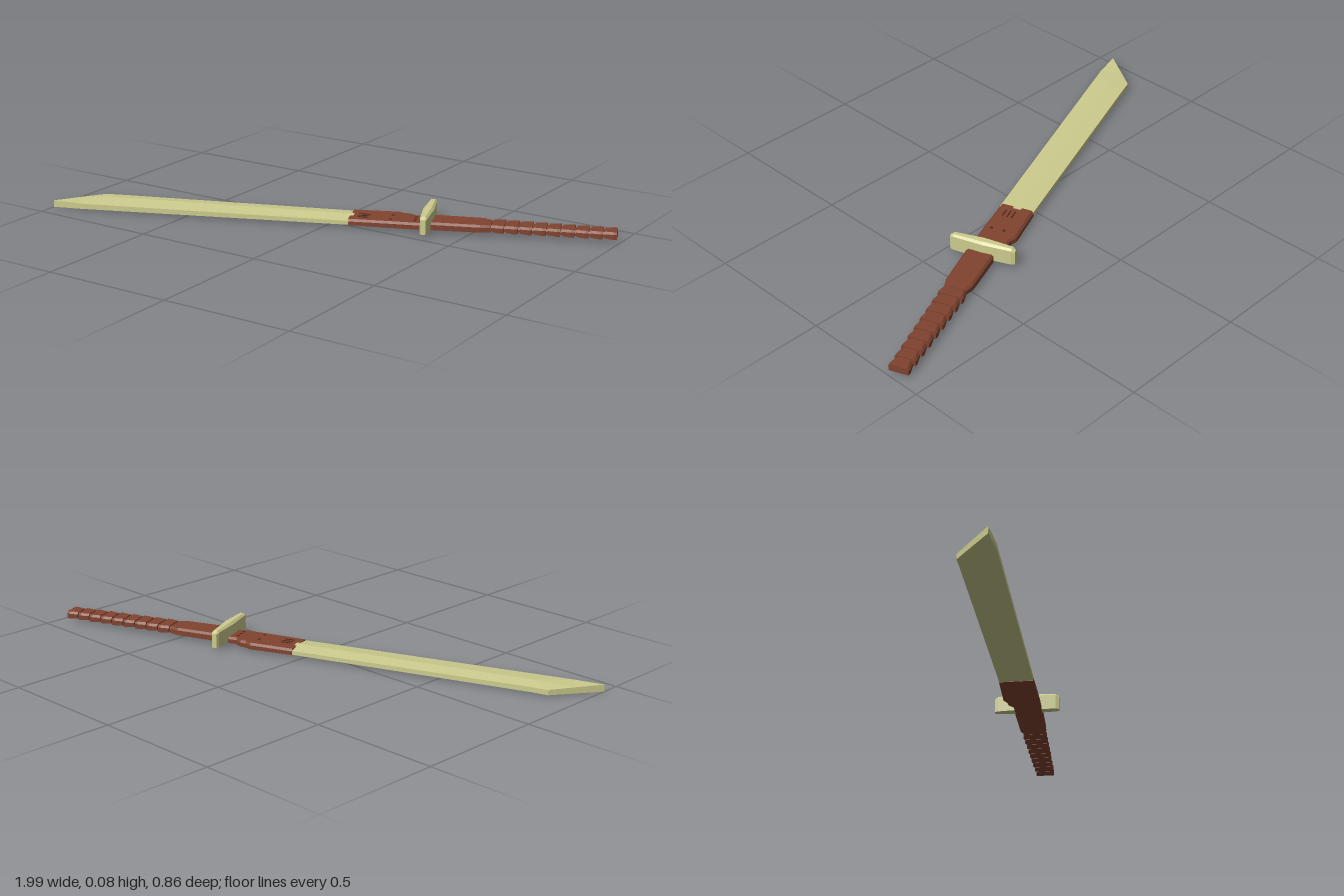
import * as THREE from 'three';

const BLADE = 0xcccc8e, BROWN = 0x80432f, DARK = 0x4a2518;

// Flat-shaded skin through matching cross-sections, with both ends capped.
function loft(sections) {
  const pos = [];
  const tri = (a, b, c) => pos.push(...a, ...b, ...c);
  const n = sections[0].length;
  for (let s = 0; s < sections.length - 1; s++) {
    const a = sections[s], b = sections[s + 1];
    for (let i = 0; i < n; i++) {
      const j = (i + 1) % n;
      tri(a[i], a[j], b[j]);
      tri(a[i], b[j], b[i]);
    }
  }
  const first = sections[0], last = sections[sections.length - 1];
  for (let i = 1; i < n - 1; i++) {
    tri(first[0], first[i + 1], first[i]);
    tri(last[0], last[i], last[i + 1]);
  }
  const g = new THREE.BufferGeometry();
  g.setAttribute('position', new THREE.Float32BufferAttribute(pos, 3));
  g.computeVertexNormals();
  return g;
}

// Block section at x with chamfered upper edges.
const block = (x, z0, z1, y0, y1, c = 0.008) => [
  [x, y1 - c, z0], [x, y1, z0 + c], [x, y1, z1 - c],
  [x, y1 - c, z1], [x, y0, z1], [x, y0, z0],
];

export function createModel() {
  const sword = new THREE.Group();
  sword.name = 'sword';
  const add = (name, geometry, color) => {
    const m = new THREE.Mesh(geometry, new THREE.MeshStandardMaterial({ color, flatShading: true }));
    m.name = name;
    sword.add(m);
    return m;
  };

  // Blade: ridged top, flat underside, slanted point
  add('blade', loft([
    [[-0.92, 0.027, -0.089], [-1.0, 0.028, -0.028], [-1.088, 0.028, 0.039], [-1.088, 0.002, 0.039], [-0.92, 0.007, -0.089]],
    [[-0.86, 0.028, -0.088], [-0.85, 0.035, -0.03], [-0.974, 0.026, 0.051], [-0.974, 0.005, 0.051], [-0.86, 0.009, -0.088]],
    [[0.08, 0.028, -0.08], [0.08, 0.036, -0.018], [0.08, 0.028, 0.05], [0.08, 0.013, 0.05], [0.08, 0.013, -0.08]],
  ]), BLADE);

  // Collar holding the blade, stepping in before the guard
  add('collar', loft([
    block(0.068, -0.081, 0.05, 0.012, 0.034),
    block(0.238, -0.086, 0.051, 0.012, 0.036),
    block(0.262, -0.074, 0.051, 0.012, 0.036),
    block(0.285, -0.072, 0.051, 0.012, 0.036),
    block(0.31, -0.055, 0.05, 0.012, 0.036),
    block(0.37, -0.055, 0.05, 0.013, 0.036),
  ]), BROWN);

  // Slits and rivets on the collar
  for (let i = 0; i < 3; i++) {
    add('collarSlit', new THREE.BoxGeometry(0.04, 0.002, 0.004), DARK)
      .position.set(0.12, 0.0358, -0.022 + i * 0.018);
    add('collarRivet', new THREE.BoxGeometry(0.01, 0.002, 0.007), DARK)
      .position.set(0.315, 0.0365, -0.025 + i * 0.024);
  }
  for (const z of [-0.03, 0.02]) {
    add('collarPin', new THREE.BoxGeometry(0.009, 0.002, 0.009), DARK)
      .position.set(0.225, 0.0365, z);
  }

  // Guard: thin crosspiece with narrowed ends and a chamfered top
  const guardSection = (z, w, y1, c) => [
    [0.362 + w, y1 - c, z], [0.362 + w - c, y1, z], [0.362 - w + c, y1, z],
    [0.362 - w, y1 - c, z], [0.362 - w, 0.016, z], [0.362 + w, 0.016, z],
  ];
  add('guard', loft([
    guardSection(-0.135, 0.009, 0.072, 0.004),
    guardSection(-0.122, 0.014, 0.081, 0.007),
    guardSection(-0.01, 0.021, 0.084, 0.009),
    guardSection(0.105, 0.014, 0.081, 0.007),
    guardSection(0.118, 0.009, 0.072, 0.004),
  ]), BLADE);

  // Smooth forward part of the handle
  add('handle', loft([
    block(0.365, -0.052, 0.045, 0.014, 0.041),
    block(0.385, -0.058, 0.05, 0.014, 0.042),
    block(0.56, -0.058, 0.045, 0.015, 0.042),
    block(0.598, -0.046, 0.036, 0.016, 0.04),
  ]), BROWN);

  // Narrow core showing between the grip segments
  add('gripCore', loft([
    block(0.58, -0.042, 0.03, 0.019, 0.037),
    block(1.04, -0.036, 0.016, 0.019, 0.037),
  ]), BROWN);

  // Tapering grip segments, each flaring toward the end
  const count = 9, start = 0.602, pitch = 0.051;
  for (let i = 0; i < count; i++) {
    const x = start + i * pitch, t = i / (count - 1);
    const z0 = -0.056 + 0.006 * t, z1 = 0.041 - 0.014 * t;
    add('gripSegment', loft([
      block(x, z0 + 0.007, z1 - 0.006, 0.017, 0.041),
      block(x + 0.032, z0, z1, 0.015, 0.042),
      block(x + 0.044, z0 + 0.002, z1 - 0.002, 0.015, 0.042),
    ]), BROWN);
  }

  // Lay the sword diagonally across the ground
  sword.rotation.y = 0.37;
  sword.position.y = -0.002;
  const model = new THREE.Group();
  model.name = 'model';
  model.add(sword);
  return model;
}
